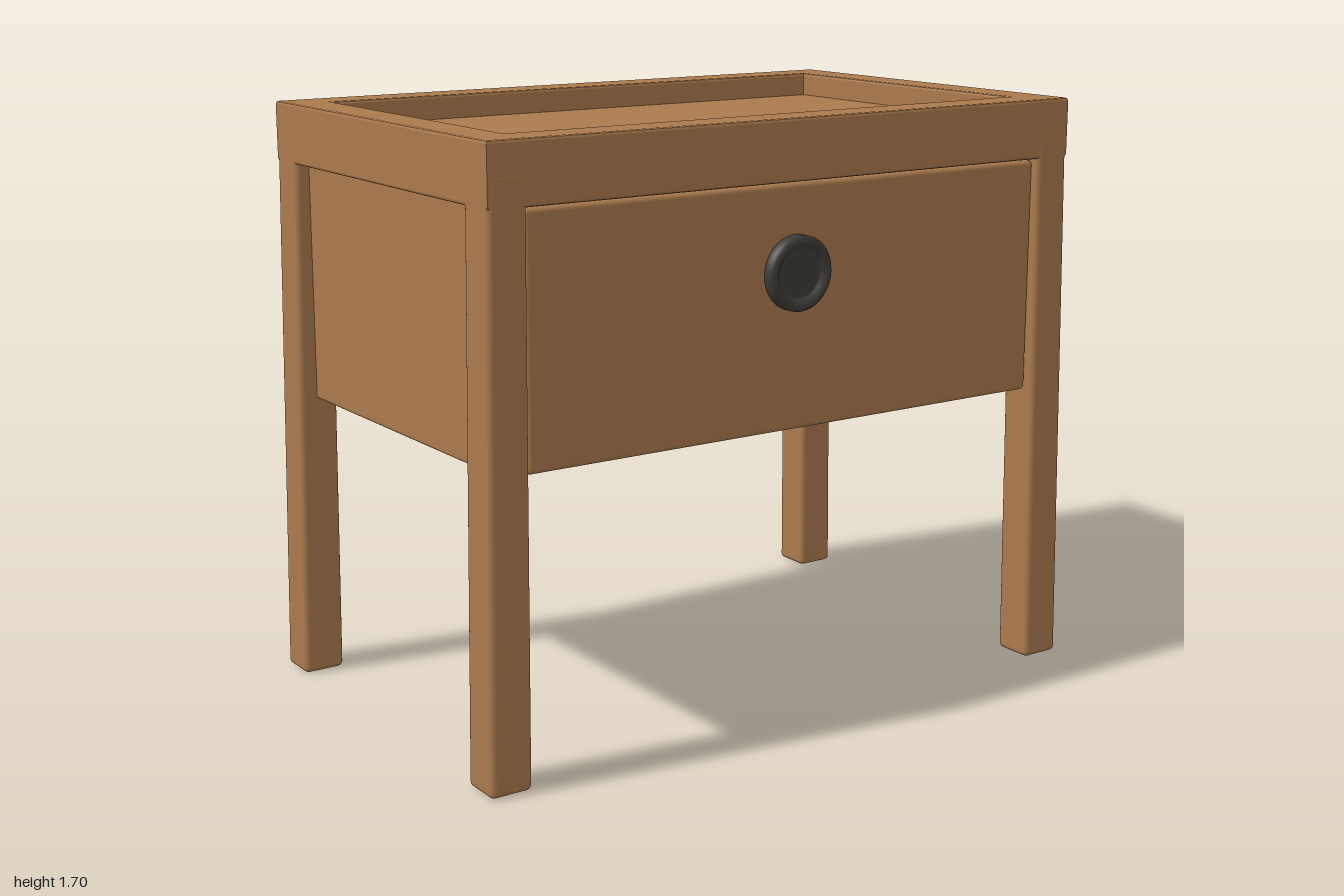
import * as THREE from 'three';
import { RoundedBoxGeometry } from 'three/addons/geometries/RoundedBoxGeometry.js';

export function createModel() {
  const model = new THREE.Group();
  model.name = 'nightstand';
  const wood = new THREE.MeshStandardMaterial({ color: 0xab7a4d });
  wood.name = 'wood';
  const iron = new THREE.MeshStandardMaterial({ color: 0x3d3b37 });
  iron.name = 'dark metal';

  const add = (name, geometry, material = wood) => {
    const mesh = new THREE.Mesh(geometry, material);
    mesh.name = name;
    model.add(mesh);
    return mesh;
  };

  // Rounded board given by its lower and upper corners
  const board = (name, [x0, y0, z0], [x1, y1, z1], radius = 0.01) => {
    const geometry = new RoundedBoxGeometry(x1 - x0, y1 - y0, z1 - z0, 2, radius);
    geometry.translate((x0 + x1) / 2, (y0 + y1) / 2, (z0 + z1) / 2);
    return add(name, geometry);
  };

  // Slightly splayed legs: the foot moves outwards
  const legTop = 1.62;
  for (const sx of [-1, 1]) {
    for (const sz of [-1, 1]) {
      const geometry = new RoundedBoxGeometry(0.114, legTop, 0.121, 3, 0.016);
      geometry.translate(0, legTop / 2, 0);
      const p = geometry.attributes.position;
      for (let i = 0; i < p.count; i++) {
        const t = 1 - p.getY(i) / legTop;
        p.setX(i, p.getX(i) * (1 + 0.1 * t) + sx * (0.913 + 0.023 * t));
        p.setZ(i, p.getZ(i) * (1 + 0.02 * t) + sz * (0.548 + 0.01 * t));
      }
      add(`${sz > 0 ? 'front' : 'back'}${sx > 0 ? 'Left' : 'Right'}Leg`, geometry);
    }
  }

  // Raised frame around the top
  const rectangle = (path, w, d) => path
    .moveTo(-w, -d).lineTo(w, -d).lineTo(w, d).lineTo(-w, d).closePath();
  const bevel = 0.008;
  const outline = rectangle(new THREE.Shape(), 0.97 - bevel, 0.608 - bevel);
  outline.holes.push(rectangle(new THREE.Path(), 0.85 + bevel, 0.49 + bevel));
  const frame = new THREE.ExtrudeGeometry(outline, {
    depth: 0.172 - 2 * bevel, bevelSize: bevel, bevelThickness: bevel, bevelSegments: 2,
  });
  frame.rotateX(-Math.PI / 2);
  frame.translate(0, 1.528 + bevel, 0);
  add('topFrame', frame);

  // Sunken top and carcass
  board('topPanel', [-0.88, 1.56, -0.52], [0.88, 1.63, 0.52]);
  board('bottomPanel', [-0.9, 0.85, -0.56], [0.9, 0.89, 0.56]);
  board('backPanel', [-0.88, 0.84, -0.58], [0.88, 1.56, -0.51]);
  for (const s of [-1, 1]) {
    const x = s * 0.9;
    board(s > 0 ? 'leftPanel' : 'rightPanel', [x - 0.03, 0.84, -0.52], [x + 0.03, 1.56, 0.52]);
  }
  board('drawerFront', [-0.858, 0.84, 0.51], [0.858, 1.524, 0.59], 0.014);

  // Round knob with a dished face
  const profile = [
    [0, 0], [0.095, 0], [0.105, 0.008], [0.105, 0.032], [0.097, 0.042],
    [0.082, 0.042], [0.072, 0.03], [0.066, 0.027], [0, 0.03],
  ].map(([r, y]) => new THREE.Vector2(r, y));
  const knob = new THREE.LatheGeometry(profile, 40);
  knob.rotateX(Math.PI / 2);
  knob.translate(-0.01, 1.28, 0.582);
  add('knob', knob, iron);

  return model;
}
